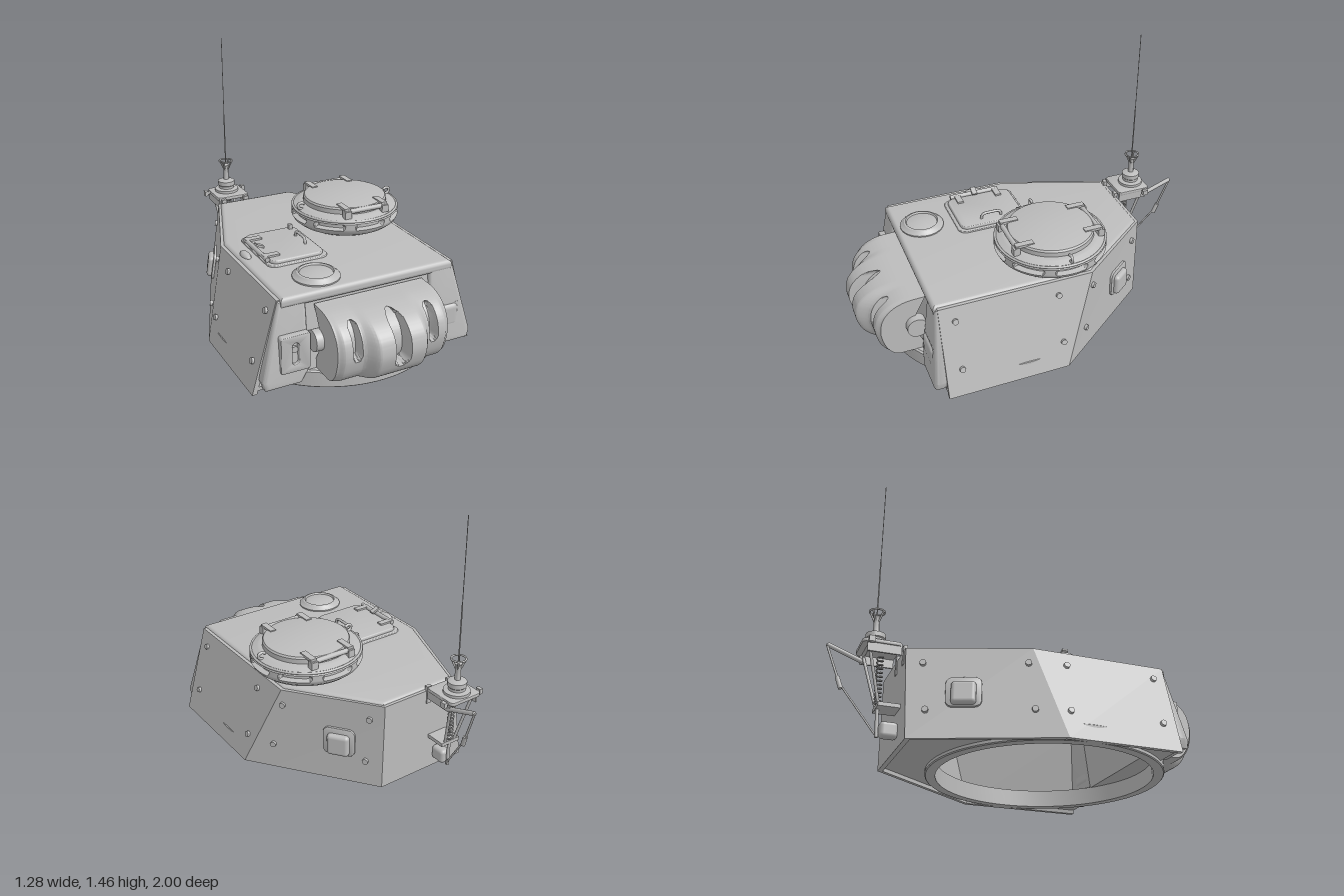
import * as THREE from 'three';
import { toCreasedNormals } from 'three/addons/utils/BufferGeometryUtils.js';
import { RoundedBoxGeometry } from 'three/addons/geometries/RoundedBoxGeometry.js';

const V = (x, y, z) => new THREE.Vector3(x, y, z);
const { smoothstep, clamp, lerp } = THREE.MathUtils;

// Surface of (nu+1) x (nv+1) points; u runs right and v up when seen from outside
function grid(nu, nv, f, crease = 0.6) {
  const pos = [], idx = [];
  for (let i = 0; i <= nu; i++) for (let j = 0; j <= nv; j++) pos.push(...f(i, j));
  for (let i = 0; i < nu; i++) for (let j = 0; j < nv; j++) {
    const a = i * (nv + 1) + j, b = a + nv + 1;
    idx.push(a, b, b + 1, a, b + 1, a + 1);
  }
  const g = new THREE.BufferGeometry();
  g.setAttribute('position', new THREE.Float32BufferAttribute(pos, 3));
  g.setIndex(idx);
  return toCreasedNormals(g, crease);
}

// How far a point lies inside a round-ended slot, 0..1
function slot(x, y, half, y0, y1) {
  const d = Math.hypot(x, y - clamp(y, y0 + half, y1 - half)) - half;
  return 1 - smoothstep(d, -0.004, 0.004);
}

const shapeOf = pts => new THREE.Shape(pts.map(p => new THREE.Vector2(p[0], p[1])));

function roundRect(w, h, r) {
  const s = new THREE.Shape(), x = w / 2, y = h / 2;
  s.absarc(x - r, y - r, r, 0, Math.PI / 2);
  s.absarc(-x + r, y - r, r, Math.PI / 2, Math.PI);
  s.absarc(-x + r, -y + r, r, Math.PI, Math.PI * 1.5);
  s.absarc(x - r, -y + r, r, Math.PI * 1.5, Math.PI * 2);
  return s;
}

const extrude = (shape, depth, bevel = 0) => toCreasedNormals(new THREE.ExtrudeGeometry(shape, {
  depth, bevelEnabled: bevel > 0, bevelSize: bevel, bevelThickness: bevel, bevelSegments: 4, curveSegments: 20 }), 0.6);

// Horizontal slab drawn in x,z whose top face sits at y = top
const slab = (shape, height, top, bevel = 0) =>
  extrude(shape, height - 2 * bevel, bevel).rotateX(Math.PI / 2).translate(0, top - bevel, 0);

const lathe = (pts, n = 48) =>
  toCreasedNormals(new THREE.LatheGeometry(pts.map(p => new THREE.Vector2(p[0], p[1])), n), 0.6);

export function createModel() {
  const root = new THREE.Group();
  const steel = new THREE.MeshStandardMaterial({ color: 0xbcbcbc, side: THREE.DoubleSide });
  steel.name = 'grey steel';
  const add = (name, geo, x = 0, y = 0, z = 0, parent = root) => {
    const m = new THREE.Mesh(geo, steel);
    m.name = name;
    m.position.set(x, y, z);
    parent.add(m);
    return m;
  };
  const box = (name, w, h, d, x, y, z, p) => add(name, new THREE.BoxGeometry(w, h, d), x, y, z, p);
  const rod = (name, a, b, r, p = root, n = 12) => {
    const m = add(name, new THREE.CylinderGeometry(r, r, a.distanceTo(b), n), 0, 0, 0, p);
    m.position.copy(a).add(b).multiplyScalar(0.5);
    m.quaternion.setFromUnitVectors(V(0, 1, 0), b.clone().sub(a).normalize());
  };
  const tube = (name, pts, r, p, n = 24) =>
    add(name, new THREE.TubeGeometry(new THREE.CatmullRomCurve3(pts), n, r, 8), 0, 0, 0, p);

  // Side and rear armour: foot and top outlines (x, z) from right front round the back
  const H = 0.485;
  const foot = [[.64, .65], [.64, -.02], [.18, -.64], [-.36, -.64], [-.64, .06], [-.64, .65]];
  const top = [[.505, .65], [.505, -.2], [.17, -.64], [-.29, -.64], [-.505, -.06], [-.505, .65]];
  const inset = ([x, z]) => [x * .96, z > .6 ? z : z * .96];
  const section = i => {
    const f = foot[i], t = top[i], fi = inset(f), ti = inset(t);
    return [[f[0], 0, f[1]], [t[0], H, t[1]], [ti[0], H, ti[1]], [fi[0], 0, fi[1]], [f[0], 0, f[1]]];
  };
  const middle = s => [0, 1, 2].map(k => (s[0][k] + s[1][k] + s[2][k] + s[3][k]) / 4);
  add('armourWalls', grid(7, 4, (i, j) => {
    const s = section(clamp(i - 1, 0, 5));
    return i === 0 || i === 7 ? middle(s) : s[j];
  }, 0.1));

  // Roof with rounded rim
  const roofPts = top.map(([x, z]) => [x * .92, z > .6 ? .645 : z * .94]);
  add('roof', slab(shapeOf(roofPts), 0.06, 0.498, 0.025));

  // Floor flange around the turret ring, and the ring itself
  const flange = foot.map(([x, z]) => [x * .98, z > .6 ? z : z * .98]);
  const a0 = Math.asin(.45 / .6);
  for (let i = 0; i <= 48; i++) {
    const a = lerp(Math.PI - a0, Math.PI * 2 + a0, i / 48);
    flange.push([.6 * Math.cos(a), .2 + .6 * Math.sin(a)]);
  }
  add('floorFlange', slab(shapeOf(flange), 0.02, 0.04));
  add('turretRing', lathe([[.565, 0], [.615, 0], [.62, .005], [.62, .085], [.61, .092], [.565, .092], [.565, 0]], 96), 0, 0, .2);

  // Sloping front: recessed centre plate between two rounded cheeks
  const lean = g => {
    const p = g.attributes.position;
    for (let i = 0; i < p.count; i++) p.setZ(i, p.getZ(i) + (.49 - p.getY(i)) * .12);
    return toCreasedNormals(g, 0.6);
  };
  add('frontPlate', lean(extrude(shapeOf([[-.37, .09], [.37, .09], [.37, .475], [-.37, .475]]), .05)), 0, 0, .595);
  for (const s of [-1, 1]) {
    const pts = [[.375, .11], [.41, .06], [.575, .06], [.583, .085], [.485, .46], [.375, .46]].map(([x, y]) => [s * x, y]);
    add('frontCheek', lean(extrude(shapeOf(pts), .03, .022)), 0, 0, .61);
    rod('trunnion', V(s * .29, .265, .72), V(s * .35, .265, .72), .055, root, 32);
  }

  // Gun mantlet: rolled profile swept across x, bulging in the middle, with three slots
  const roll = new THREE.CatmullRomCurve3([[.66, .092], [.8, .09], [.9, .095], [.96, .14], [.99, .2], [1, .26],
    [.98, .33], [.92, .385], [.82, .42], [.66, .43]].map(([z, y]) => V(0, y, z))).getSpacedPoints(100);
  const NX = 156;
  add('mantlet', grid(NX + 2, 100, (i, j) => {
    const x = lerp(-.31, .31, clamp((i - 1) / NX, 0, 1)), ax = Math.abs(x);
    if (i === 0 || i === NX + 2) return [x, .26, .75];
    const { y, z } = roll[j];
    const k = 1 - .2 * smoothstep(ax, .12, .185) - .07 * smoothstep(ax, .275, .31);
    const front = z > .72 ? 1 : 0;
    const dent = front * (.08 * slot(x, y, .04, .18, .415) + .06 * slot(ax - .212, y, .021, .23, .4));
    return [x, y, .66 + (z - .66) * k - dent];
  }));

  // Front vision block with slot, and the blunt cover on the other cheek
  const visor = roundRect(.15, .19, .008);
  const hole = new THREE.Path();
  hole.absarc(0, .04, .023, 0, Math.PI);
  hole.absarc(0, -.04, .023, Math.PI, Math.PI * 2);
  visor.holes.push(hole);
  add('visionBlock', extrude(visor, .05, .004), -.435, .215, .665);
  rod('visionBlockPin', V(-.435, .23, .68), V(-.435, .23, .705), .018);
  add('frontCover', new RoundedBoxGeometry(.17, .135, .08, 4, .03), .445, .19, .665);
  box('frontCoverTop', .165, .06, .04, .445, .23, .67);

  // Rivets and pistol ports laid out on the wall panels
  const onWall = (name, i, u, v) => {
    const at = (a, b) => (w, y) => V(lerp(a[0], b[0], w), y, lerp(a[1], b[1], w));
    const lo = at(foot[i], foot[i + 1]), hi = at(top[i], top[i + 1]);
    const g = new THREE.Group();
    g.name = name;
    const X = lo(1, 0).sub(lo(0, 0)).normalize();
    const N = X.clone().cross(hi(.5, H).sub(lo(.5, 0))).normalize();
    g.position.copy(lo(u, 0).lerp(hi(u, H), v));
    g.quaternion.setFromRotationMatrix(new THREE.Matrix4().makeBasis(X, N.clone().cross(X), N));
    root.add(g);
    return g;
  };
  const rivets = [[0, .12, .3], [0, .1, .84], [0, .9, .3], [0, .79, .84],
    [1, .15, .3], [1, .08, .82], [1, .87, .3], [1, .87, .82]];
  for (const [i, u, v] of rivets) for (const [w, t] of [[i, u], [4 - i, 1 - u]]) {
    const g = onWall('rivet', w, t, v);
    rod('rivetHead', V(0, 0, -.005), V(0, 0, .014), .016, g, 10);
  }
  for (const [i, u] of [[1, .645], [3, .4]]) {
    const g = onWall('pistolPort', i, u, .49);
    add('portFrame', extrude(roundRect(.165, .15, .03), .008, .004), 0, 0, 0, g);
    add('portPlug', new RoundedBoxGeometry(.12, .12, .05, 4, .02), 0, -.012, .015, g);
  }

  // Commander's cupola with eight vision slots
  const cupola = new THREE.Group();
  cupola.name = 'cupola';
  cupola.position.set(.255, 0, -.06);
  root.add(cupola);
  const prof = [[.2, .48], [.24, .5], [.27, .515], [.294, .535], [.303, .553], [.303, .59], [.295, .6], [.29, .608], [.255, .622], [.2, .628]];
  const SUB = 5, NV = (prof.length - 1) * SUB;
  add('cupolaBand', grid(288, NV, (i, j) => {
    const a = i / 288 * Math.PI * 2, k = Math.min(Math.floor(j / SUB), prof.length - 2), t = j / SUB - k;
    let r = lerp(prof[k][0], prof[k + 1][0], t);
    const y = lerp(prof[k][1], prof[k + 1][1], t), step = Math.PI / 4;
    const da = (a + step / 2) % step - step / 2;
    if (y > .54 && y < .6) r -= .03 * slot(y - .571, da * .3, .014, -.085, .085);
    return [r * Math.sin(a), y, r * Math.cos(a)];
  }), 0, 0, 0, cupola);
  add('cupolaRim', new THREE.TorusGeometry(.296, .007, 8, 64).rotateX(Math.PI / 2), 0, .603, 0, cupola);
  add('cupolaLid', lathe([[.235, .61], [.235, .65], [.228, .66], [.215, .664], [0, .665]], 64), 0, 0, 0, cupola);
  for (const s of [-1, 1]) {
    rod('lidHinge', V(-.135, .648, s * .235), V(.135, .648, s * .235), .014, cupola);
    for (const x of [-.115, .115]) {
      box('lidHingeArm', .034, .014, .1, x, .663, s * .195, cupola);
      box('lidHingeFoot', .04, .04, .035, x, .635, s * .24, cupola);
    }
    const hook = [[.265, .61], [.29, .62], [.294, .64], [.275, .648], [.255, .64]];
    tube('cupolaHook', hook.map(([x, y]) => V(s * x, y, 0)), .008, cupola);
  }

  // Square roof hatch with hinge, handle and stop
  const hatch = new THREE.Group();
  hatch.name = 'roofHatch';
  hatch.position.set(-.225, 0, .14);
  root.add(hatch);
  add('hatchSeat', slab(roundRect(.33, .4, .04), .02, .508, .006), 0, 0, 0, hatch);
  add('hatchLid', slab(roundRect(.29, .36, .035), .03, .526, .008), 0, 0, 0, hatch);
  rod('hatchHinge', V(-.165, .527, -.13), V(-.165, .527, .16), .013, hatch);
  for (const z of [-.11, .12]) box('hatchHingeStrap', .09, .01, .035, -.13, .532, z, hatch);
  tube('hatchHandle', [V(.1, .52, -.06), V(.1, .55, -.05), V(.1, .556, 0), V(.1, .55, .05), V(.1, .52, .06)], .008, hatch);
  box('hatchStop', .05, .012, .03, -.15, .55, .02, hatch).rotation.z = -.4;
  add('hatchCatch', new THREE.SphereGeometry(.035, 20, 10).scale(.7, .6, 1.5), -.22, .498, 0, hatch);
  box('hatchLatch', .02, .045, .02, .115, .53, -.16, hatch);

  // Ventilator cover, with its opening ring under the roof
  add('ventilator', lathe([[.122, .49], [.122, .505], [.108, .515], [.1, .525], [.09, .528], [.085, .518], [.08, .52], [0, .526]]), -.225, 0, .52);
  add('ventilatorInnerRing', lathe([[.075, .44], [.075, .425], [.1, .425], [.1, .44]]), -.225, 0, .52);

  // Rear aerial mount, bracket and mast
  const aerial = new THREE.Group();
  aerial.name = 'aerialMount';
  aerial.position.set(-.185, 0, -.77);
  root.add(aerial);
  add('mountPlate', slab(roundRect(.19, .19, .02), .02, .515, .003), 0, 0, .02, aerial);
  add('mountBase', lathe([[.07, .515], [.07, .53], [.045, .535], [.045, .55], [.05, .555], [.05, .58], [.03, .588], [.016, .59],
    [.014, .67], [.02, .68], [0, .69]], 32), 0, 0, 0, aerial);
  add('guideRing', new THREE.TorusGeometry(.038, .005, 8, 32).rotateX(Math.PI / 2), 0, .707, 0, aerial);
  for (let i = 0; i < 4; i++) {
    const a = i * Math.PI / 2 + Math.PI / 4, c = Math.cos(a), s = Math.sin(a);
    rod('guideProng', V(c * .012, .65, s * .012), V(c * .038, .707, s * .038), .005, aerial, 8);
  }
  rod('mastLower', V(0, .66, 0), V(0, 1.0, 0), .0035, aerial, 8);
  rod('mastUpper', V(0, 1.0, 0), V(0, 1.46, 0), .002, aerial, 8);
  rod('mountCrossPin', V(-.125, .5, -.04), V(.13, .5, -.04), .01, aerial);
  for (const s of [-1, 1]) {
    box('mountSidePlate', .01, .06, .17, s * .088, .48, .03, aerial);
    box('mountBolt', .02, .03, .03, s * .12, .5, -.04, aerial);
    box('wallBracket', .03, .1, .02, s * .07, .46, .135, aerial);
    rod('mountBrace', V(s * .07, .48, -.04), V(s * .03, .2, .03), .008, aerial);
  }
  rod('tiltArm', V(.085, .46, -.03), V(.085, .53, -.22), .012, aerial);
  rod('tiltRod', V(.085, .53, -.222), V(.07, .33, -.15), .006, aerial);
  rod('tiltTurnbuckle', V(.074, .36, -.16), V(.068, .3, -.14), .012, aerial);
  rod('tiltCable', V(.07, .33, -.15), V(.01, .06, .035), .005, aerial);
  const coil = [];
  for (let i = 0; i <= 120; i++) {
    const a = i / 120 * Math.PI * 24;
    coil.push(V(.015 * Math.cos(a), lerp(.47, .22, i / 120), .03 + .015 * Math.sin(a)));
  }
  tube('returnSpring', coil, .004, aerial, 300);
  rod('springRod', V(0, .22, .03), V(0, .05, .035), .009, aerial);
  box('lowerBracket', .12, .02, .11, 0, .2, .075, aerial);
  add('lowerBumper', new RoundedBoxGeometry(.06, .08, .09, 3, .02), 0, .09, .09, aerial);

  return root;
}
